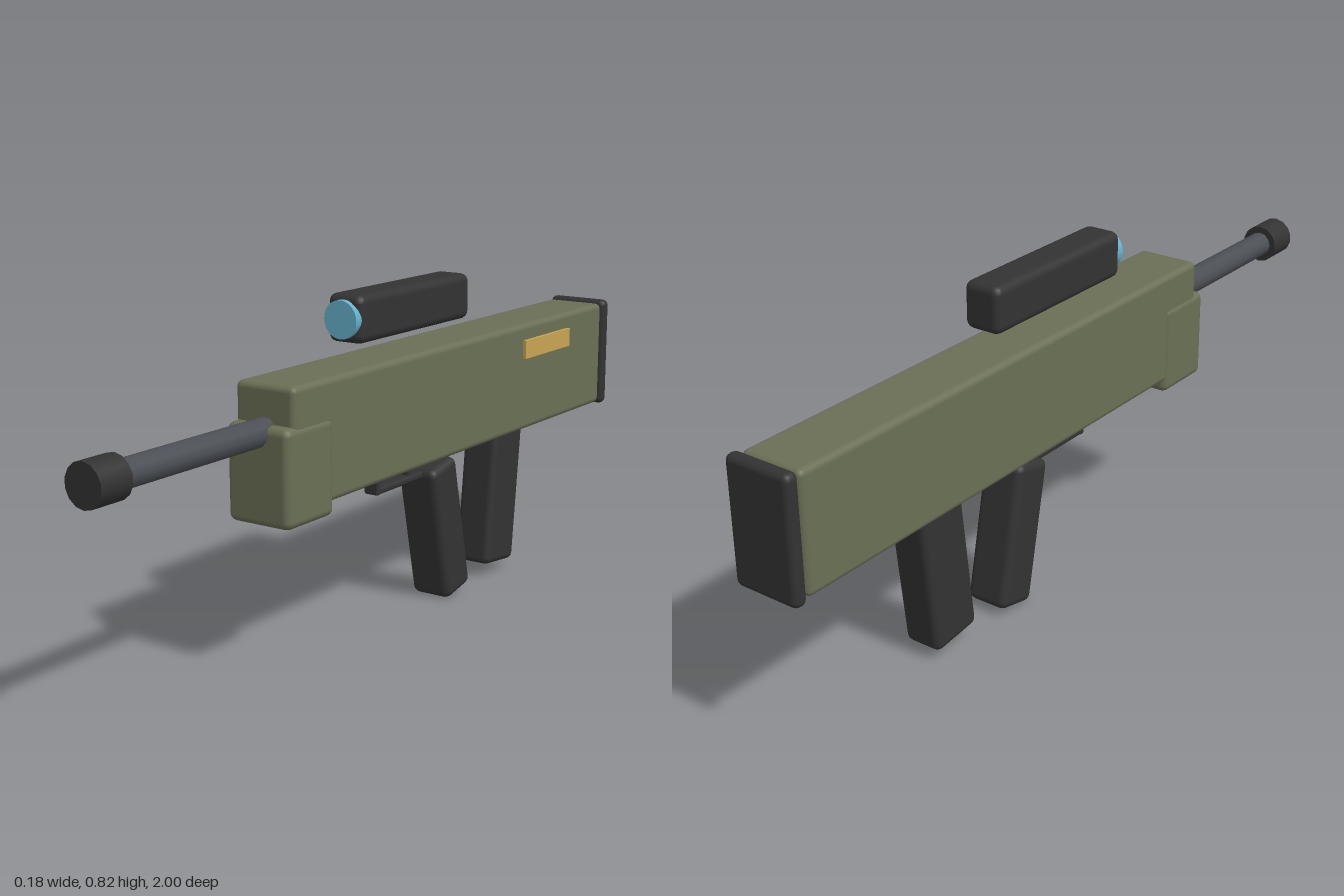
import * as THREE from 'three';
import { RoundedBoxGeometry } from 'three/addons/geometries/RoundedBoxGeometry.js';

export function createModel() {
  const material = (name, color) => {
    const m = new THREE.MeshStandardMaterial({ color });
    m.name = name;
    return m;
  };
  const olive = material('olive', 0x6a6f55);
  const black = material('black', 0x333333);
  const steel = material('steel', 0x4b4f55);
  const glass = material('glass', 0x66b2cc);
  const brass = material('brass', 0xc8a452);

  const model = new THREE.Group();
  model.name = 'toyLauncher';
  const cx = -0.0025; // centre plane, offset by the side plate

  const add = (name, geometry, mat, y, z, tilt = 0, x = cx) => {
    const mesh = new THREE.Mesh(geometry, mat);
    mesh.name = name;
    mesh.position.set(x, y, z);
    mesh.rotation.x = tilt;
    model.add(mesh);
    return mesh;
  };
  const block = (w, h, d, r) => new RoundedBoxGeometry(w, h, d, 2, r);
  const rod = (r, length, sides) => new THREE.CylinderGeometry(r, r, length, sides).rotateX(Math.PI / 2);

  // Body, handguard and butt pad
  add('body', block(0.162, 0.282, 1.41, 0.015), olive, 0.531, -0.255);
  add('handguard', block(0.171, 0.225, 0.17, 0.018), olive, 0.472, 0.395);
  add('buttPad', block(0.171, 0.296, 0.036, 0.016), black, 0.531, -0.982);

  // Barrel and muzzle
  add('barrel', rod(0.032, 0.52, 12), steel, 0.568, 0.67);
  add('muzzle', rod(0.049, 0.087, 14), black, 0.568, 0.9565);

  // Sight floating above the body, with its front lens
  add('sight', block(0.097, 0.113, 0.47, 0.02), black, 0.772, -0.077);
  add('lens', rod(0.045, 0.03, 24), glass, 0.772, 0.156);

  // Grip and magazine lean in opposite directions
  add('grip', block(0.112, 0.36, 0.112, 0.02), black, 0.19, -0.23, 0.21);
  add('magazine', block(0.1, 0.41, 0.14, 0.018), black, 0.239, -0.5, -0.11);

  // Trigger guard and trigger
  add('guardFront', block(0.04, 0.065, 0.016, 0.005), black, 0.366, 0.044);
  add('guardBottom', block(0.04, 0.018, 0.22, 0.007), black, 0.343, -0.058);
  add('trigger', block(0.022, 0.055, 0.018, 0.005), black, 0.375, -0.1);

  // Side plate on the left
  add('sidePlate', new THREE.BoxGeometry(0.0095, 0.048, 0.236), brass, 0.607, -0.64, 0, 0.0832);

  return model;
}
